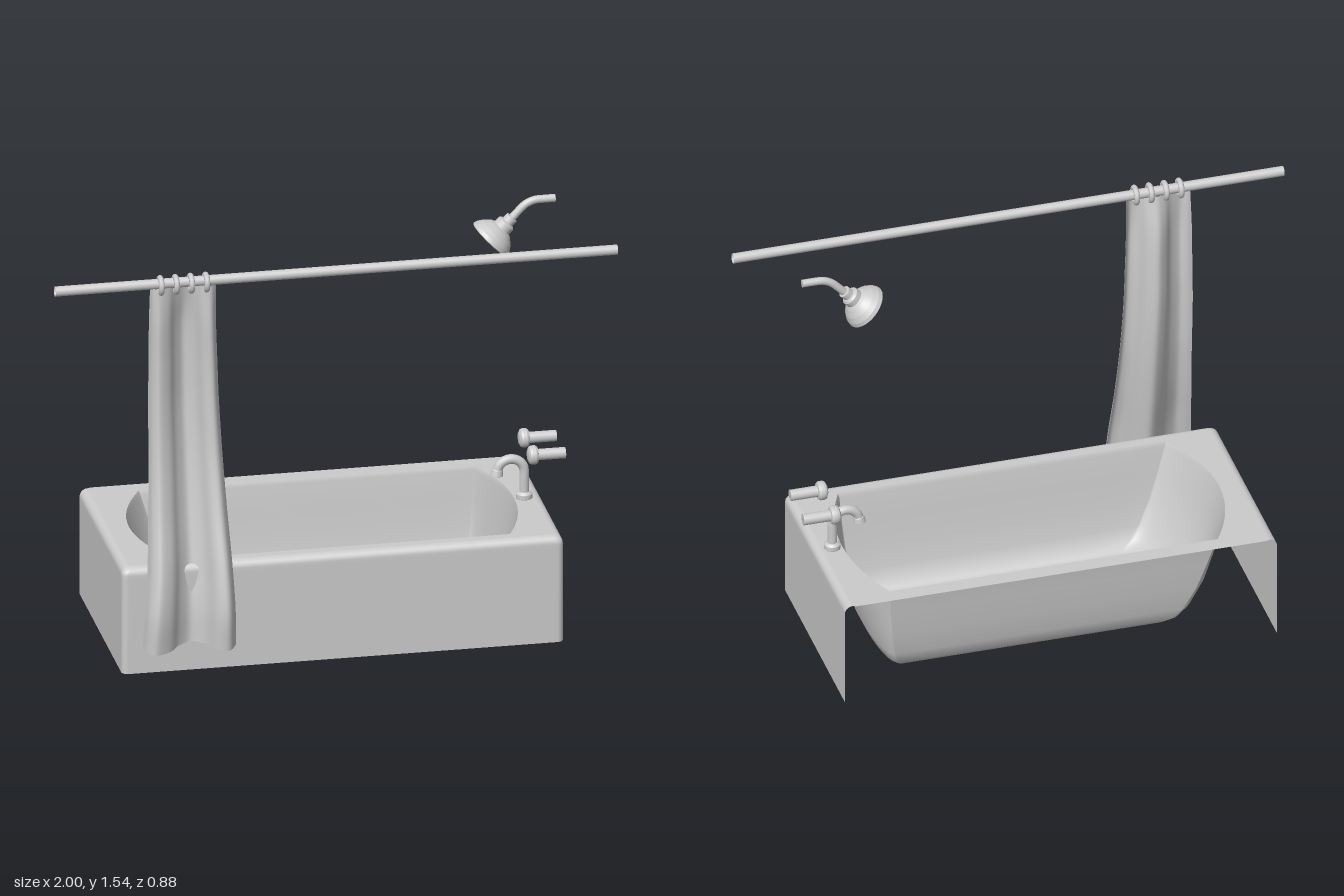
import * as THREE from 'three';

const material = new THREE.MeshStandardMaterial({ color: 0xcccccc, side: THREE.DoubleSide });
const MID_Z = -0.055; // line of the drain, tap and shower
const RIM_Y = 0.41;

const v2 = (pairs) => pairs.map(([x, y]) => new THREE.Vector2(x, y));
const v3 = (list) => list.map(([x, y, z]) => new THREE.Vector3(x, y, z));

function mesh(name, geometry, parent) {
  const m = new THREE.Mesh(geometry, material);
  m.name = name;
  parent.add(m);
  return m;
}

// Skin through cross-sections with equal point counts
function loft(rows, closed = false) {
  const n = rows[0].length, pos = [], index = [];
  rows.forEach((row) => row.forEach((p) => pos.push(...p)));
  for (let r = 0; r < rows.length - 1; r++) {
    for (let i = 0; i < (closed ? n : n - 1); i++) {
      const a = r * n + i, b = r * n + ((i + 1) % n);
      index.push(a, b, a + n, b, b + n, a + n);
    }
  }
  const g = new THREE.BufferGeometry();
  g.setAttribute('position', new THREE.Float32BufferAttribute(pos, 3));
  g.setIndex(index);
  g.computeVertexNormals();
  return g;
}

// Lathe whose profile pairs (radius, height) get a crease at every corner
function creasedLathe(profile, segments = 28) {
  const pts = [];
  for (let i = 0; i < profile.length; i++) {
    const p = profile[i];
    const near = (q) => [p[0] + (q[0] - p[0]) * 0.06, p[1] + (q[1] - p[1]) * 0.06];
    if (i > 0) pts.push(near(profile[i - 1]));
    pts.push(p);
    if (i < profile.length - 1) pts.push(near(profile[i + 1]));
  }
  return new THREE.LatheGeometry(v2(pts), segments);
}

const tube = (points, radius) =>
  new THREE.TubeGeometry(new THREE.CatmullRomCurve3(v3(points)), 40, radius, 16);

// U-shaped plan of the outer panels, open at the back: [x, z] points
function apronPlan(inset) {
  const x0 = -0.77 + inset, x1 = 0.8 - inset, z1 = 0.33 - inset, r = 0.022, back = -0.435;
  const pts = [[x1, back], [x1, z1 - r - 0.02]];
  for (let i = 0; i <= 6; i++) {
    const a = (i / 6) * Math.PI / 2;
    pts.push([x1 - r + r * Math.cos(a), z1 - r + r * Math.sin(a)]);
  }
  pts.push([x1 - r - 0.02, z1]);
  const mirrored = pts.map(([x, z]) => [x0 + x1 - x, z]).reverse();
  return pts.concat(mirrored);
}

// Plan of the basin: straight sides, bowed ends
function basinPlan([, xl, bowL, xr, bowR, half, e]) {
  const pts = [], n = 24;
  const bow = (a) => Math.pow(Math.max(Math.cos(a), 0), e);
  for (let i = 0; i <= n; i++) {
    const a = -Math.PI / 2 + (i / n) * Math.PI;
    pts.push([xr + bowR * bow(a), MID_Z + half * Math.sin(a)]);
  }
  for (let i = 1; i < 8; i++) pts.push([xr + (xl - xr) * i / 8, MID_Z + half]);
  for (let i = 0; i <= n; i++) {
    const a = Math.PI / 2 - (i / n) * Math.PI;
    pts.push([xl - bowL * bow(a), MID_Z + half * Math.sin(a)]);
  }
  for (let i = 1; i < 8; i++) pts.push([xl + (xr - xl) * i / 8, MID_Z - half]);
  return pts;
}

function buildTub(parent) {
  const tub = new THREE.Group();
  tub.name = 'bathtub';
  parent.add(tub);

  // Front and end panels with a rounded top edge
  const R = 0.028, sections = [[0.015, 0], [RIM_Y - R - 0.015, 0]];
  for (let i = 0; i <= 6; i++) {
    const a = (i / 6) * Math.PI / 2;
    sections.push([RIM_Y - R + R * Math.sin(a), R * (1 - Math.cos(a))]);
  }
  mesh('apron', loft(sections.map(([y, inset]) => apronPlan(inset).map(([x, z]) => [x, y, z]))), tub);

  // Flat rim around the opening
  // Basin sections: y, left x, left bow, right x, right bow, half width, bow exponent
  const levels = [
    [RIM_Y, -0.57, 0.1, 0.62, 0.08, 0.325, 2],
    [0.395, -0.565, 0.1, 0.616, 0.08, 0.319, 2],
    [0.3, -0.535, 0.1, 0.61, 0.07, 0.307, 1.7],
    [0.2, -0.5, 0.1, 0.6, 0.06, 0.294, 1.4],
    [0.11, -0.455, 0.09, 0.585, 0.055, 0.277, 1.1],
    [0.065, -0.42, 0.08, 0.57, 0.05, 0.26, 0.9],
    [0.042, -0.385, 0.07, 0.55, 0.045, 0.238, 0.8],
    [0.035, -0.36, 0.05, 0.53, 0.035, 0.215, 0.8],
    [0.035, -0.34, 0.04, 0.52, 0.025, 0.2, 0.8],
    [0.035, -0.3, 0, 0.5, 0, 0, 1],
  ];
  const edge = apronPlan(R);
  const outline = [[0.76, -0.44], ...edge, [-0.73, -0.44]];
  const rim = new THREE.Shape(v2(outline.map(([x, z]) => [x, -z])));
  rim.holes.push(new THREE.Path(v2(basinPlan(levels[0]).map(([x, z]) => [x, -z]))));
  mesh('rim', new THREE.ShapeGeometry(rim).rotateX(-Math.PI / 2).translate(0, RIM_Y, 0), tub);

  mesh('basin', loft(levels.map((l) => basinPlan(l).map(([x, z]) => [x, l[0], z])), true), tub);

  // Drain flange above the floor, fitting below it
  const drain = creasedLathe([[0, 0], [0.027, 0], [0.027, 0.034], [0.042, 0.036],
    [0.038, 0.043], [0.022, 0.043], [0.018, 0.037], [0, 0.037]]);
  mesh('drain', drain, tub).position.set(0.52, 0, MID_Z - 0.005);
}

function buildTaps(parent) {
  // Curved spout on the rim
  mesh('spoutBase', creasedLathe([[0, 0], [0.029, 0], [0.029, 0.016], [0.02, 0.024], [0, 0.024]]), parent)
    .position.set(0.735, RIM_Y, MID_Z);
  const path = [[0.735, 0.42, MID_Z], [0.735, 0.48, MID_Z]];
  for (let i = 0; i <= 8; i++) {
    const a = (i / 8) * Math.PI * 0.94;
    path.push([0.687 + 0.048 * Math.cos(a), 0.512 + 0.046 * Math.sin(a), MID_Z]);
  }
  mesh('spout', tube(path, 0.017), parent);
  const tip = mesh('spoutTip', creasedLathe([[0.013, 0], [0.023, 0], [0.019, 0.02], [0.015, 0.024]]), parent);
  tip.position.set(0.637, 0.502, MID_Z);
  tip.rotation.z = -0.15;

  // Pair of wall handles
  for (const z of [0.025, -0.137]) {
    const handle = mesh('tapHandle', creasedLathe([[0, 0], [0.02, 0.002], [0.031, 0.008], [0.034, 0.016],
      [0.034, 0.028], [0.029, 0.036], [0.02, 0.038], [0.02, 0.135], [0, 0.135]]), parent);
    handle.position.set(0.73, 0.6, z);
    handle.rotation.z = -Math.PI / 2;
  }
}

function buildShower(parent) {
  const shower = new THREE.Group();
  shower.name = 'shower';
  parent.add(shower);
  mesh('showerArm', tube([[0.69, 1.463, MID_Z], [0.715, 1.49, MID_Z], [0.74, 1.513, MID_Z],
    [0.77, 1.526, MID_Z], [0.805, 1.528, MID_Z], [0.845, 1.528, MID_Z]], 0.014), shower);
  mesh('armEnd', new THREE.CircleGeometry(0.014, 16).rotateY(Math.PI / 2), shower)
    .position.set(0.845, 1.528, MID_Z);
  // Bell-shaped head tilted toward the tub
  const head = mesh('showerHead', creasedLathe([[0, 0.006], [0.076, 0.006], [0.079, 0], [0.083, 0.003],
    [0.079, 0.017], [0.066, 0.036], [0.046, 0.054], [0.034, 0.061], [0.034, 0.082], [0.028, 0.088],
    [0.022, 0.09], [0.022, 0.112], [0, 0.114]], 32), shower);
  head.position.set(0.613, 1.388, MID_Z);
  head.rotation.z = -Math.PI / 4;
}

function buildCurtain(parent) {
  const railY = 1.453, railZ = 0.277;
  // Hollow rail with rings
  mesh('curtainRail', new THREE.CylinderGeometry(0.018, 0.018, 2, 24, 1, true).rotateZ(Math.PI / 2), parent)
    .position.set(0, railY, railZ);
  for (let i = 0; i < 4; i++) {
    mesh('curtainRing', new THREE.TorusGeometry(0.027, 0.01, 10, 28).rotateY(Math.PI / 2), parent)
      .position.set(-0.625 + i * 0.054, railY - 0.005, railZ + 0.004);
  }

  // Hanging cloth: y, centre z, fold depth, left x, right x
  const keys = [
    [1.44, 0.28, 0.018, -0.66, -0.427], [1.3, 0.268, 0.036, -0.66, -0.423],
    [1.15, 0.263, 0.038, -0.66, -0.417], [1.0, 0.265, 0.039, -0.662, -0.412],
    [0.8, 0.283, 0.038, -0.664, -0.403], [0.6, 0.318, 0.042, -0.672, -0.393],
    [0.4, 0.364, 0.05, -0.683, -0.382], [0.25, 0.388, 0.05, -0.698, -0.376],
    [0.115, 0.386, 0.043, -0.705, -0.374],
  ];
  const spine = new THREE.CatmullRomCurve3(v3(keys.map((k) => [k[2], k[0], k[1]])));
  const sides = new THREE.CatmullRomCurve3(v3(keys.map((k) => [k[3], k[4], 0])));
  const folds = new THREE.CatmullRomCurve3(v3([[0, -0.5, 0], [0.04, 0.5, 0], [0.12, 0.95, 0], [0.26, 0.55, 0],
    [0.4, -0.5, 0], [0.53, -1, 0], [0.66, -0.5, 0], [0.8, 0.85, 0], [0.88, 1, 0], [0.97, 0.3, 0], [1, -0.3, 0]]));
  const rows = [];
  for (let j = 0; j <= 48; j++) {
    const s = spine.getPoint(j / 48), w = sides.getPoint(j / 48), row = [];
    for (let i = 0; i <= 48; i++) {
      const f = folds.getPoint(i / 48);
      const lift = j === 48 ? 0.012 * (1 - f.y) * 0.5 : 0; // uneven hem
      row.push([w.x + (w.y - w.x) * f.x, s.y + lift, s.z + s.x * f.y]);
    }
    rows.push(row);
  }
  mesh('curtain', loft(rows), parent);
}

export function createModel() {
  const group = new THREE.Group();
  group.name = 'bathtubWithShower';
  buildTub(group);
  buildTaps(group);
  buildShower(group);
  buildCurtain(group);
  return group;
}
